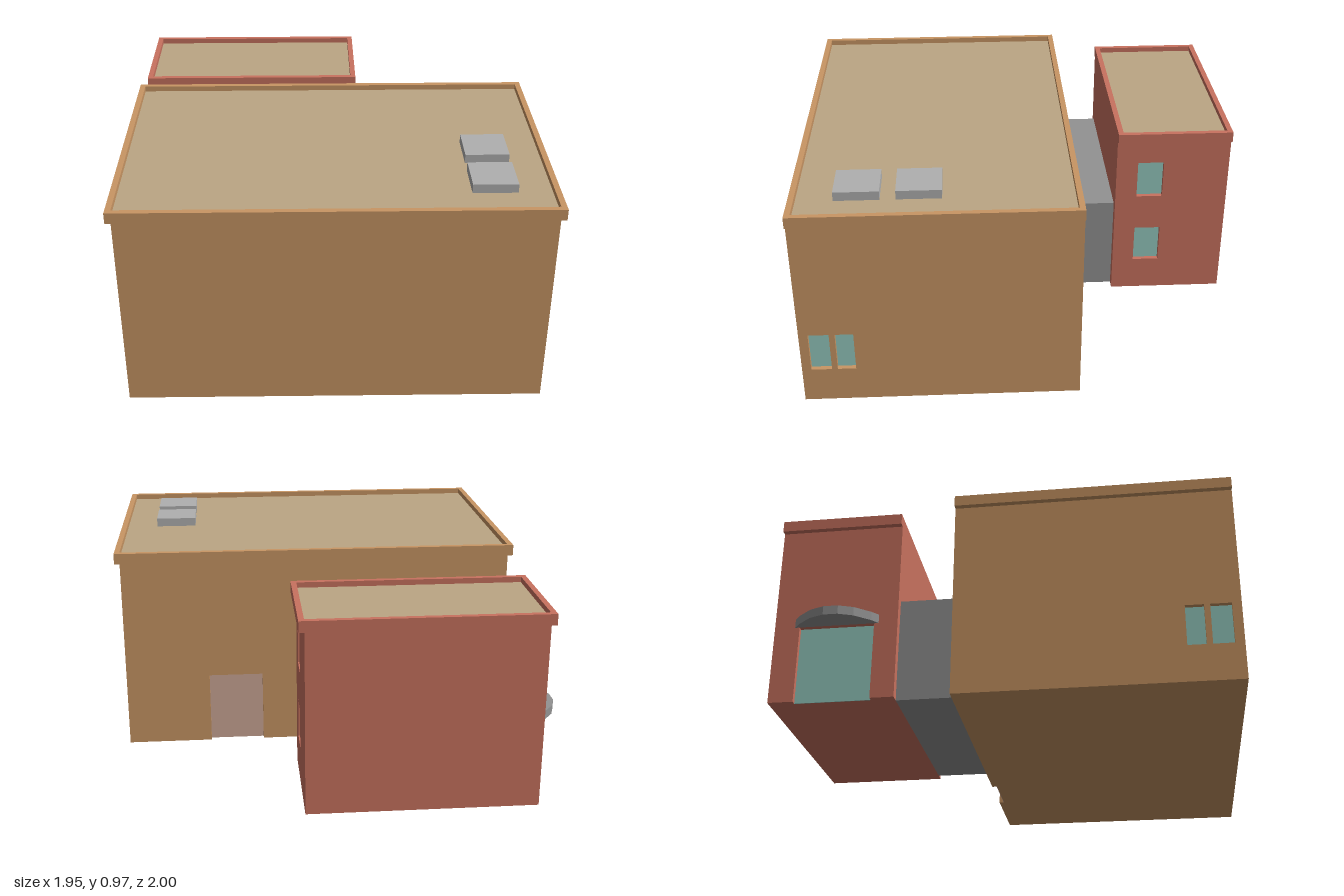
import * as THREE from 'three';

const mat = (color) => new THREE.MeshStandardMaterial({ color, flatShading: true });
const tan = mat(0xc99664), red = mat(0xc8725f), roofTan = mat(0xbba684);
const grey = mat(0x929292), paleGrey = mat(0xb0b0b0), glass = mat(0x94c9bf), doorMat = mat(0xcda896);
const DEPTH = 0.025; // thickness of the outer wall skin and depth of every recess
const WALL_TURN = { right: Math.PI / 2, left: -Math.PI / 2, back: Math.PI };

function add(parent, name, geometry, material) {
  const mesh = new THREE.Mesh(geometry, material);
  mesh.name = name;
  parent.add(mesh);
  return mesh;
}

// Box given by its limits on each axis
function box(parent, name, [x0, x1], [y0, y1], [z0, z1], material) {
  const mesh = add(parent, name, new THREE.BoxGeometry(x1 - x0, y1 - y0, z1 - z0), material);
  mesh.position.set((x0 + x1) / 2, (y0 + y1) / 2, (z0 + z1) / 2);
  return mesh;
}

function rectPath(path, u0, u1, v0, v1) {
  path.moveTo(u0, v0).lineTo(u1, v0).lineTo(u1, v1).lineTo(u0, v1).closePath();
  return path;
}

// Wall skin with openings; `at` is the inner plane, `span` runs along the wall in world units.
// Openings: { name, span, y, material }; those starting at the ground become notches.
function wall(parent, side, at, span, height, material, openings) {
  const flip = side === 'left' ? 1 : -1;
  const local = (s) => s.map((v) => v * flip).sort((a, b) => a - b);
  const group = new THREE.Group();
  group.name = side + 'Wall';
  group.rotation.y = WALL_TURN[side];
  if (side === 'back') group.position.z = at;
  else group.position.x = at;
  parent.add(group);

  const [u0, u1] = local(span);
  const shape = new THREE.Shape().moveTo(u0, 0);
  for (const o of openings) {
    const [a, b] = local(o.span);
    if (o.y[0] === 0) shape.lineTo(a, 0).lineTo(a, o.y[1]).lineTo(b, o.y[1]).lineTo(b, 0);
    else shape.holes.push(rectPath(new THREE.Path(), a, b, o.y[0], o.y[1]));
    box(group, o.name, [a, b], o.y, [0, 0.003], o.material);
  }
  shape.lineTo(u1, 0).lineTo(u1, height).lineTo(u0, height).closePath();
  add(group, 'wallSkin', new THREE.ExtrudeGeometry(shape, { depth: DEPTH, bevelEnabled: false }), material);
}

// Shape drawn as (x, -z), extruded upwards from y0 to y1
function plate(parent, name, shape, y0, y1, material) {
  const geometry = new THREE.ExtrudeGeometry(shape, { depth: y1 - y0, bevelEnabled: false });
  geometry.rotateX(-Math.PI / 2);
  add(parent, name, geometry, material).position.y = y0;
}

// Raised roof edge overhanging at the sides, with the flat roof sunk inside it
function roof(parent, [x0, x1], [z0, z1], y0, y1, material) {
  const e = DEPTH;
  const frame = rectPath(new THREE.Shape(), x0 - e, x1 + e, -z1, -z0);
  frame.holes.push(rectPath(new THREE.Path(), x0, x1, -z1 + e, -z0 - e));
  plate(parent, 'cornice', frame, y0, y1, material);
  box(parent, 'flatRoof', [x0, x1], [y0, y1 - 0.025], [z0 + e, z1 - e], roofTan);
}

function mainHall() {
  const hall = new THREE.Group();
  hall.name = 'mainHall';
  const x = [-0.87, 0.95], z = [-0.22, 1], h = 0.905;
  box(hall, 'hallCore', [x[0] + DEPTH, x[1] - DEPTH], [0, h], [z[0] + DEPTH, z[1]], tan);
  const windows = [[0.765, 0.845], [0.87, 0.96]].map((span) =>
    ({ name: 'window', span, y: [0.165, 0.35], material: glass }));
  wall(hall, 'right', x[1] - DEPTH, [z[0] + DEPTH, z[1]], h, tan, windows);
  wall(hall, 'left', x[0] + DEPTH, [z[0] + DEPTH, z[1]], h, tan, windows);
  wall(hall, 'back', z[0] + DEPTH, x, h, tan,
    [{ name: 'backDoor', span: [0.3, 0.555], y: [0, 0.34], material: doorMat }]);
  roof(hall, x, z, h, 0.955, tan);
  for (const z0 of [0.365, 0.625]) {
    box(hall, 'roofUnit', [0.612, 0.805], [0.93, 0.97], [z0, z0 + 0.193], paleGrey);
  }
  return hall;
}

function annex() {
  const block = new THREE.Group();
  block.name = 'annex';
  const x = [-0.87, 0.15], z = [-1, -0.457], h = 0.83;
  box(block, 'annexCore', [x[0] + DEPTH, x[1] - DEPTH], [0, h], z, red);
  wall(block, 'right', x[1] - DEPTH, z, h, red, [0.165, 0.53].map((y) =>
    ({ name: 'window', span: [-0.685, -0.56], y: [y, y + 0.185], material: glass })));
  wall(block, 'left', x[0] + DEPTH, z, h, red,
    [{ name: 'entranceDoor', span: [-0.89, -0.56], y: [0, 0.35], material: glass }]);
  roof(block, x, z, h, 0.88, red);

  // Faceted curved canopy over the entrance
  const half = [[-0.87, 0.185], [-0.9, 0.16], [-0.952, 0.095], [-0.975, 0.032]];
  const outline = [...half, ...half.map(([px, d]) => [px, -d]).reverse()];
  const canopy = new THREE.Shape(outline.map(([px, d]) => new THREE.Vector2(px, 0.725 + d)));
  plate(block, 'entranceCanopy', canopy, 0.35, 0.39, grey);
  return block;
}

export function createModel() {
  const model = new THREE.Group();
  model.name = 'building';
  model.add(mainHall(), annex());
  box(model, 'connectingPassage', [-0.83, 0.105], [0, 0.47], [-0.457, -0.22], grey);
  return model;
}
